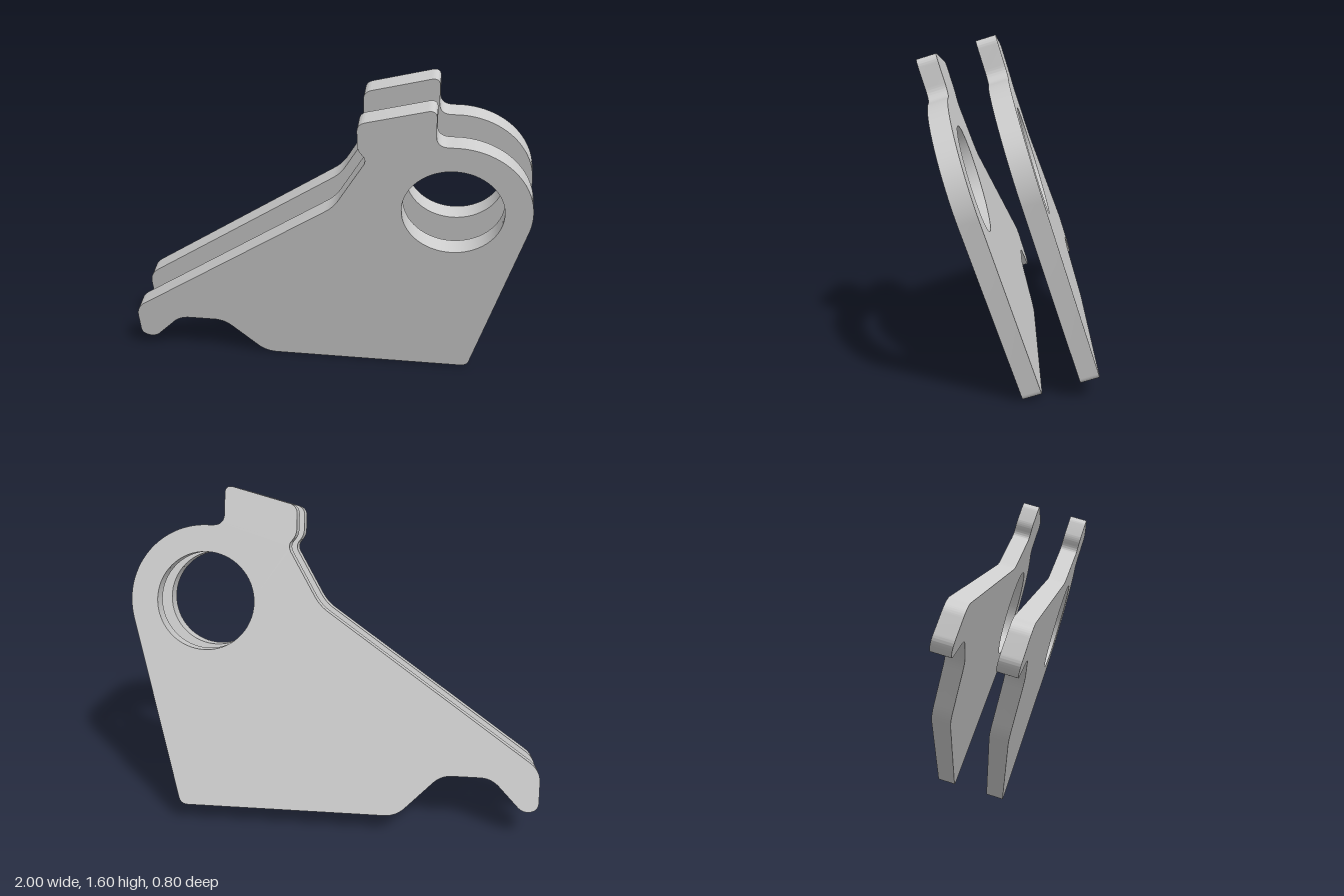
import * as THREE from 'three';
import { toCreasedNormals } from 'three/addons/utils/BufferGeometryUtils.js';

const TILT = THREE.MathUtils.degToRad(17.1);
const THICKNESS = 0.089;
const SPACING = 0.267;
const EYE = { x: 0.635, y: 1.011, hole: 0.237, rim: 0.365 };

// Corners of the outline after the rim arc: x, height when tilted, rounding distance
const CORNERS = [
  [0.55, 1.317, 0.055], // step beside the eye
  [0.55, 1.5, 0.045], // tab
  [0.2, 1.413, 0.04],
  [0.2, 1.275, 0.035], // neck
  [0.245, 1.235, 0.04],
  [0.08, 0.964, 0.05], // long sloping edge
  [-1, 0.25, 0.06], // toe
  [-1, 0.06, 0.045],
  [-0.925, 0.05, 0.035],
  [-0.77, 0.203, 0.055], // notch under the toe
  [-0.53, 0.203, 0.055],
  [-0.32, 0, 0.06], // bottom edge
  [0.745, 0, 0.037],
];

function plateShape() {
  const shape = new THREE.Shape();
  const a0 = -0.258, a1 = 1.6;
  const start = new THREE.Vector2(EYE.x + EYE.rim * Math.cos(a0), EYE.y + EYE.rim * Math.sin(a0));
  shape.absarc(EYE.x, EYE.y, EYE.rim, a0, a1, false);
  const end = new THREE.Vector2(EYE.x + EYE.rim * Math.cos(a1), EYE.y + EYE.rim * Math.sin(a1));
  const points = [end, ...CORNERS.map(([x, y]) => new THREE.Vector2(x, y / Math.cos(TILT))), start];

  // Round every corner between its two neighbours
  CORNERS.forEach(([, , d], i) => {
    const p = points[i + 1];
    const toward = (q) => q.clone().sub(p).setLength(d).add(p);
    const a = toward(points[i]), b = toward(points[i + 2]);
    shape.lineTo(a.x, a.y);
    shape.quadraticCurveTo(p.x, p.y, b.x, b.y);
  });
  shape.closePath();

  const hole = new THREE.Path();
  hole.absarc(EYE.x, EYE.y, EYE.hole, 0, Math.PI * 2, true);
  shape.holes.push(hole);
  return shape;
}

export function createModel() {
  const model = new THREE.Group();
  model.name = 'bracketPair';
  const material = new THREE.MeshStandardMaterial({ color: 0xcccccc });
  const extruded = new THREE.ExtrudeGeometry(plateShape(), {
    depth: THICKNESS, bevelEnabled: false, curveSegments: 32,
  });
  extruded.translate(0, 0, -THICKNESS);
  const geometry = toCreasedNormals(extruded, 0.6);

  // Two parallel plates leaning forward together
  const plates = new THREE.Group();
  plates.name = 'plates';
  ['frontPlate', 'rearPlate'].forEach((name, i) => {
    const plate = new THREE.Mesh(geometry, material);
    plate.name = name;
    plate.position.z = -i * SPACING;
    plates.add(plate);
  });
  plates.rotation.x = TILT;
  plates.position.set(0, 0.002, -0.055);
  model.add(plates);
  return model;
}
